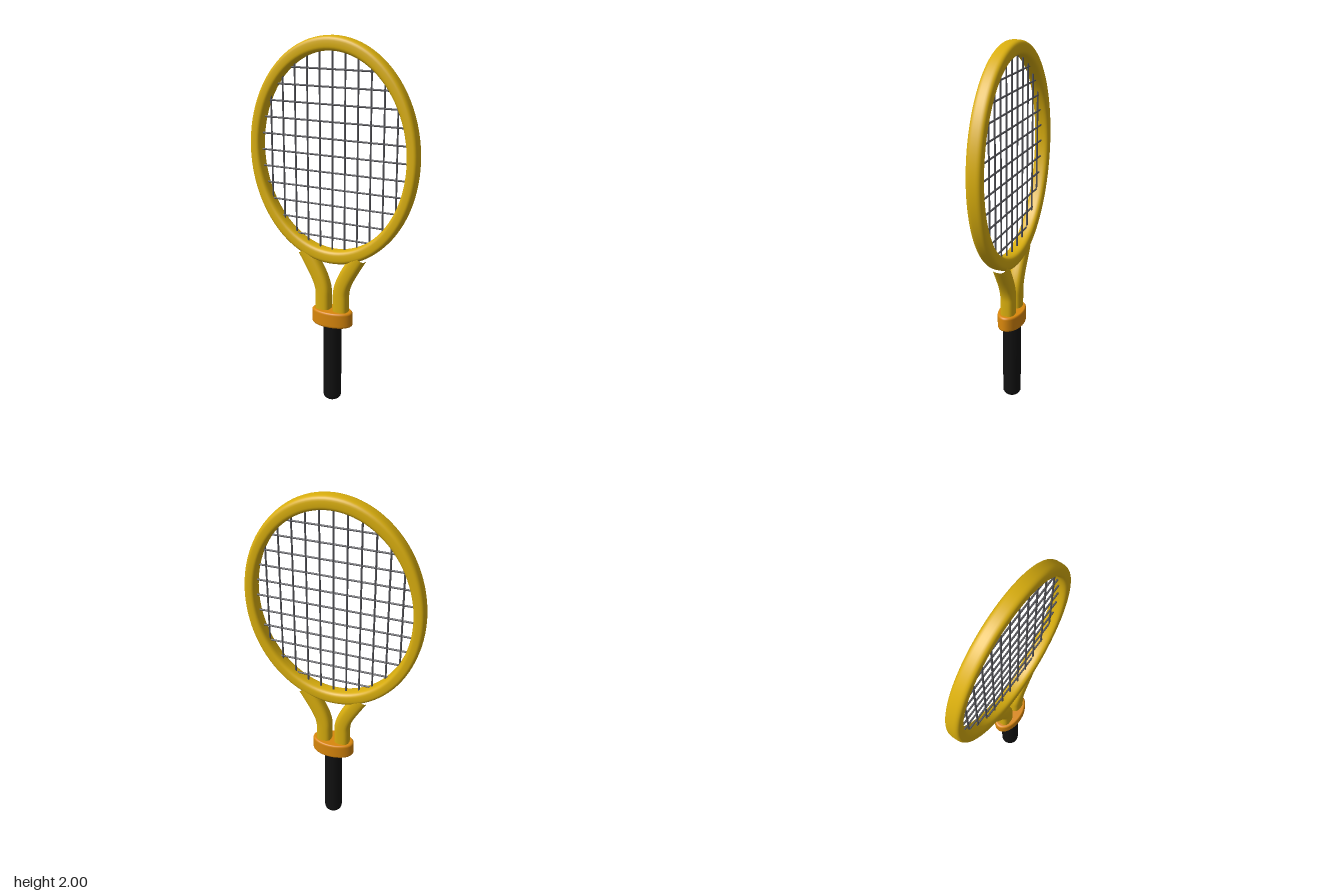
import * as THREE from 'three';
import { ParametricGeometry } from 'three/addons/geometries/ParametricGeometry.js';

const material = (color) => new THREE.MeshStandardMaterial({ color });
const HEAD = { y: 1.406, rx: 0.475, ry: 0.594, inner: 0.415 };

// Point on a rounded-rectangle-like section with half sizes a and b
function section(angle, a, b, power = 0.62) {
  const c = Math.cos(angle), s = Math.sin(angle);
  return [a * Math.sign(c) * Math.abs(c) ** power, b * Math.sign(s) * Math.abs(s) ** power];
}

// Lathe profile of a solid with rounded rims
function roundedProfile(radius, y0, y1, rBottom, rTop) {
  const points = [new THREE.Vector2(0, y0), new THREE.Vector2(radius - rBottom - 0.002, y0)];
  for (let i = 0; i <= 6; i++) {
    const t = (i / 6) * Math.PI / 2;
    points.push(new THREE.Vector2(radius - rBottom + rBottom * Math.sin(t), y0 + rBottom - rBottom * Math.cos(t)));
  }
  for (let i = 0; i <= 6; i++) {
    const t = (i / 6) * Math.PI / 2;
    points.push(new THREE.Vector2(radius - rTop + rTop * Math.cos(t), y1 - rTop + rTop * Math.sin(t)));
  }
  points.push(new THREE.Vector2(radius - rTop - 0.002, y1), new THREE.Vector2(0, y1));
  return points;
}

export function createModel() {
  const model = new THREE.Group();
  model.name = 'racket';
  const yellow = material(0xd9ae0e), orange = material(0xd9870c);
  const black = material(0x111111), grey = material(0x55555a);

  function add(name, geometry, mat, parent = model) {
    const mesh = new THREE.Mesh(geometry, mat);
    mesh.name = name;
    parent.add(mesh);
    return mesh;
  }

  // Oval head frame: a turned ring, stretched upright
  const half = (HEAD.rx - HEAD.inner) / 2;
  const ring = [];
  for (let i = 0; i <= 32; i++) {
    const [x, y] = section(Math.PI + (i / 32) * Math.PI * 2, half, 0.041);
    ring.push(new THREE.Vector2(HEAD.inner + half + x, y));
  }
  const headGeometry = new THREE.LatheGeometry(ring, 96);
  headGeometry.rotateX(Math.PI / 2);
  headGeometry.scale(1, HEAD.ry / HEAD.rx, 1);
  add('headFrame', headGeometry, yellow).position.y = HEAD.y;

  // Strings, each cut to end inside the frame
  const strings = new THREE.Group();
  strings.name = 'strings';
  model.add(strings);
  const sx = HEAD.inner + 0.015, sy = sx * HEAD.ry / HEAD.rx;
  for (let i = -5; i <= 5; i++) {
    const x = i * 0.0714;
    const tall = 2 * sy * Math.sqrt(1 - (x / sx) ** 2);
    add('verticalString', new THREE.CylinderGeometry(0.005, 0.005, tall, 8), grey, strings)
      .position.set(x, HEAD.y, 0);
    const y = 1.393 + i * 0.0883;
    const wide = 2 * sx * Math.sqrt(1 - ((y - HEAD.y) / sy) ** 2);
    const cross = add('horizontalString', new THREE.CylinderGeometry(0.005, 0.005, wide, 8), grey, strings);
    cross.rotation.z = Math.PI / 2;
    cross.position.y = y;
  }

  // Two throat arms, swept along a bent path and mirrored
  for (const side of [-1, 1]) {
    const path = new THREE.CurvePath();
    const v = (x, y) => new THREE.Vector3(side * x, y, 0);
    path.add(new THREE.LineCurve3(v(0.052, 0.5), v(0.052, 0.63)));
    path.add(new THREE.CubicBezierCurve3(v(0.052, 0.63), v(0.052, 0.7), v(0.098, 0.765), v(0.158, 0.868)));
    const arm = new ParametricGeometry((u, t, target) => {
      const p = path.getPointAt(t), d = path.getTangentAt(t);
      const [a, b] = section(u * Math.PI * 2, 0.042, 0.039, 0.7);
      target.set(p.x + d.y * a, p.y - d.x * a, -b);
    }, 24, 32);
    add(side > 0 ? 'leftThroatArm' : 'rightThroatArm', arm, yellow);
  }

  // Oval collar
  const collar = new THREE.LatheGeometry(roundedProfile(0.118, 0.457, 0.543, 0.013, 0.013), 64);
  collar.scale(1, 1, 0.069 / 0.118);
  add('collar', collar, orange);

  // Grip with a rounded butt
  add('grip', new THREE.LatheGeometry(roundedProfile(0.05, 0, 0.48, 0.032, 0.005), 32), black);

  return model;
}
